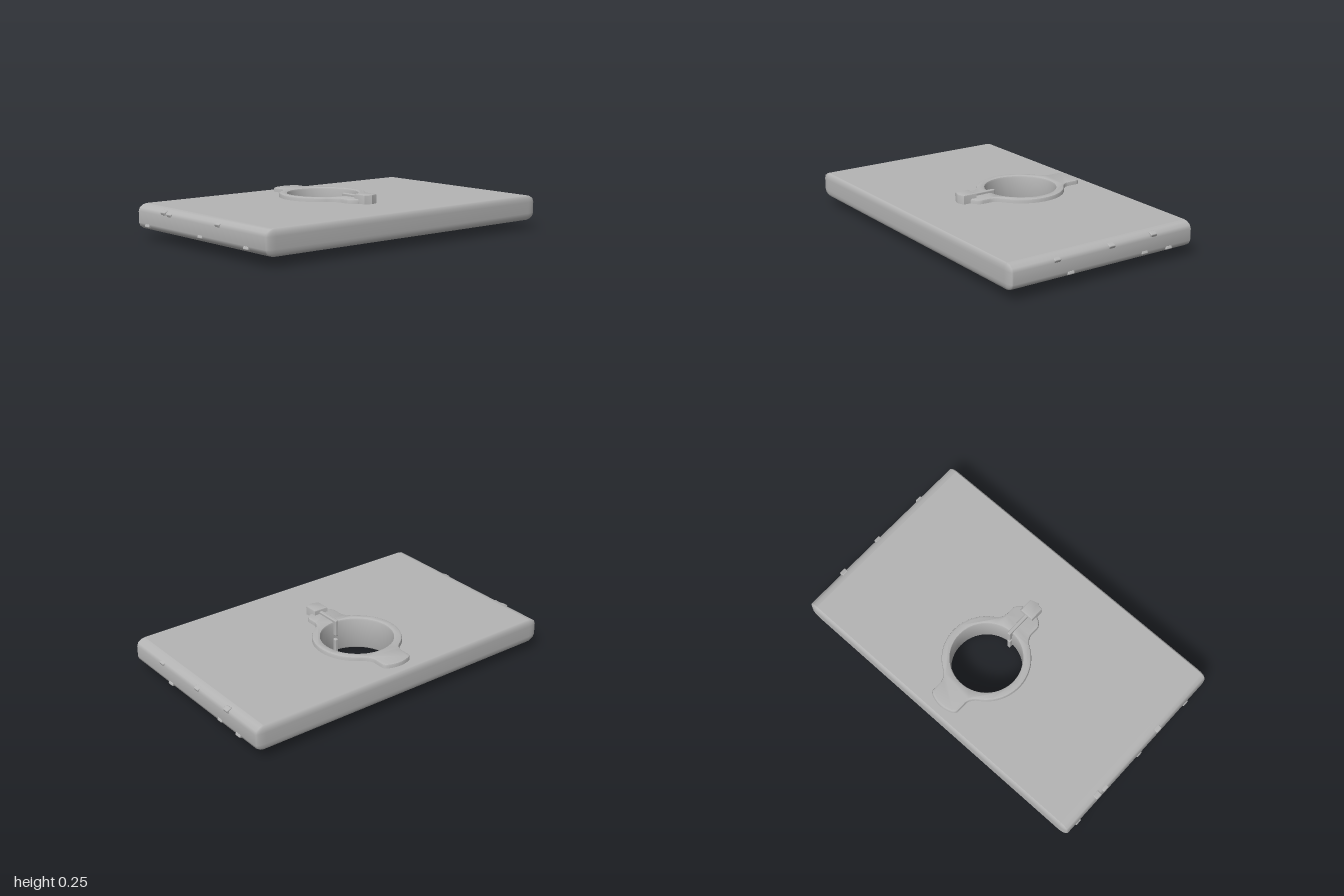
import * as THREE from 'three';
import { mergeGeometries, mergeVertices, toCreasedNormals } from 'three/addons/utils/BufferGeometryUtils.js';
import { RoundedBoxGeometry } from 'three/addons/geometries/RoundedBoxGeometry.js';

const CZ = -0.165; // z of the hole's centre
const HX = 0.993, HZ = 0.605, Y0 = 0.055, Y1 = 0.2;
const RX = 0.06, RY = 0.04, RZ = 0.018; // edge rounding along each axis

// Slab outline; k shrinks the rounded rim from full (1) to none (0)
function outline(k) {
  const pts = [];
  const corners = [[1, 1], [-1, 1], [-1, -1], [1, -1]];
  corners.forEach(([sx, sz], q) => {
    for (let i = 0; i <= 4; i++) {
      const a = (q + i / 4) * Math.PI / 2;
      const r = Math.max(k, 0.12);
      pts.push(new THREE.Vector2(
        sx * (HX - RX) + RX * r * Math.cos(a),
        sz * (HZ - RZ) + RZ * r * Math.sin(a)));
    }
  });
  return pts;
}

// Plate face with the hole cut out, lying flat at height y
function plateFace(y, up) {
  const shape = new THREE.Shape(outline(0));
  shape.holes.push(new THREE.Path().absarc(0, up ? -CZ : CZ, 0.23, 0, Math.PI * 2, true));
  const g = new THREE.ShapeGeometry(shape, 24);
  g.rotateX(up ? -Math.PI / 2 : Math.PI / 2).translate(0, y, 0);
  return g;
}

// Rounded rim joined to the two faces with shared smooth normals
function slabGeometry() {
  const rings = [];
  for (let i = 0; i <= 3; i++) {
    const t = i / 3 * Math.PI / 2;
    rings.push([Math.sin(t), Y0 + RY * (1 - Math.cos(t))]);
  }
  for (let i = 3; i >= 0; i--) rings.push([rings[i][0], Y0 + Y1 - rings[i][1]]);
  const pos = [], idx = [];
  const n = outline(1).length;
  rings.forEach(([k, y]) => outline(k).forEach(p => pos.push(p.x, y, p.y)));
  for (let r = 0; r < rings.length - 1; r++) {
    for (let i = 0; i < n; i++) {
      const a = r * n + i, b = r * n + (i + 1) % n;
      idx.push(a, a + n, b, b, a + n, b + n);
    }
  }
  const rim = new THREE.BufferGeometry();
  rim.setAttribute('position', new THREE.Float32BufferAttribute(pos, 3));
  rim.setIndex(idx);
  const faces = [plateFace(Y1, true), plateFace(Y0, false)];
  faces.forEach(f => { f.deleteAttribute('normal'); f.deleteAttribute('uv'); });
  const g = mergeVertices(mergeGeometries([rim, ...faces]), 1e-4);
  g.computeVertexNormals();
  return g;
}

// Upright bevelled extrusion of a plan shape between two heights
function upright(shape, y0, y1, bevel, crease) {
  const g = new THREE.ExtrudeGeometry(shape, {
    depth: y1 - y0 - 2 * bevel, bevelThickness: bevel, bevelSize: bevel,
    bevelOffset: -bevel, bevelSegments: 2, curveSegments: 32,
  });
  g.rotateX(-Math.PI / 2).translate(0, y0 + bevel, 0);
  return toCreasedNormals(g, crease);
}

// Ring with a tab at the back and another at the front
function collarShape() {
  const R = 0.255, a = 0.941, x = R * Math.cos(a), y = R * Math.sin(a), w = 0.095;
  const s = new THREE.Shape();
  s.moveTo(x, -y);
  s.absarc(0, 0, R, -a, a, false);
  s.quadraticCurveTo(w, 0.24, w, 0.28);
  s.lineTo(w, 0.335);
  s.quadraticCurveTo(w, 0.362, 0.06, 0.372);
  s.quadraticCurveTo(0, 0.395, -0.06, 0.372);
  s.quadraticCurveTo(-w, 0.362, -w, 0.335);
  s.lineTo(-w, 0.28);
  s.quadraticCurveTo(-w, 0.24, -x, y);
  s.absarc(0, 0, R, Math.PI - a, Math.PI + a, false);
  s.quadraticCurveTo(-w, -0.24, -w, -0.28);
  s.lineTo(-w, -0.325);
  s.quadraticCurveTo(-w, -0.355, -0.05, -0.378);
  s.lineTo(0.05, -0.378);
  s.quadraticCurveTo(w, -0.355, w, -0.325);
  s.lineTo(w, -0.28);
  s.quadraticCurveTo(w, -0.24, x, -y);
  s.holes.push(new THREE.Path().absarc(0, 0, 0.207, 0, Math.PI * 2, true));
  return s;
}

export function createModel() {
  const model = new THREE.Group();
  const grey = new THREE.MeshStandardMaterial({ color: 0xb4b4b4 });
  grey.name = 'plain grey';
  const add = (name, geometry, x = 0, y = 0, z = 0) => {
    const m = new THREE.Mesh(geometry, grey);
    m.name = name;
    m.position.set(x, y, z);
    model.add(m);
    return m;
  };

  add('slab', slabGeometry());
  add('collar', upright(collarShape(), 0.03, 0.225, 0.012, 0.6), 0, 0, CZ);

  // Narrow ribs running from the hole to the latch, above and below
  add('upperRib', new RoundedBoxGeometry(0.022, 0.1, 0.16, 2, 0.006), 0, 0.19, 0.1);
  add('lowerRib', new RoundedBoxGeometry(0.022, 0.1, 0.16, 2, 0.006), 0, 0.068, 0.1);

  // Latch block with a pointed front
  const latch = new THREE.Shape();
  latch.moveTo(-0.045, -0.172);
  latch.lineTo(-0.045, -0.257);
  latch.lineTo(0, -0.272);
  latch.lineTo(0.045, -0.257);
  latch.lineTo(0.045, -0.172);
  latch.closePath();
  add('latchBlock', upright(latch, 0, 0.253, 0.007, 0.5));

  // Small nubs along both short ends: side, height, z
  const nubs = [
    [1, 0.172, 0.315], [1, 0.174, -0.04], [1, 0.181, -0.325],
    [1, 0.08, 0.227], [1, 0.087, -0.265], [1, 0.08, -0.435],
    [-1, 0.177, -0.335], [-1, 0.172, -0.275], [-1, 0.174, 0.18],
    [-1, 0.08, -0.5], [-1, 0.085, 0.02], [-1, 0.08, 0.43],
  ];
  const nub = new RoundedBoxGeometry(0.034, 0.02, 0.042, 2, 0.006);
  nubs.forEach(([side, y, z]) => {
    const m = add('nub', nub, side * 0.981, y, z);
    m.rotation.z = side * (y > 0.12 ? -0.4 : 0.4);
  });
  return model;
}
